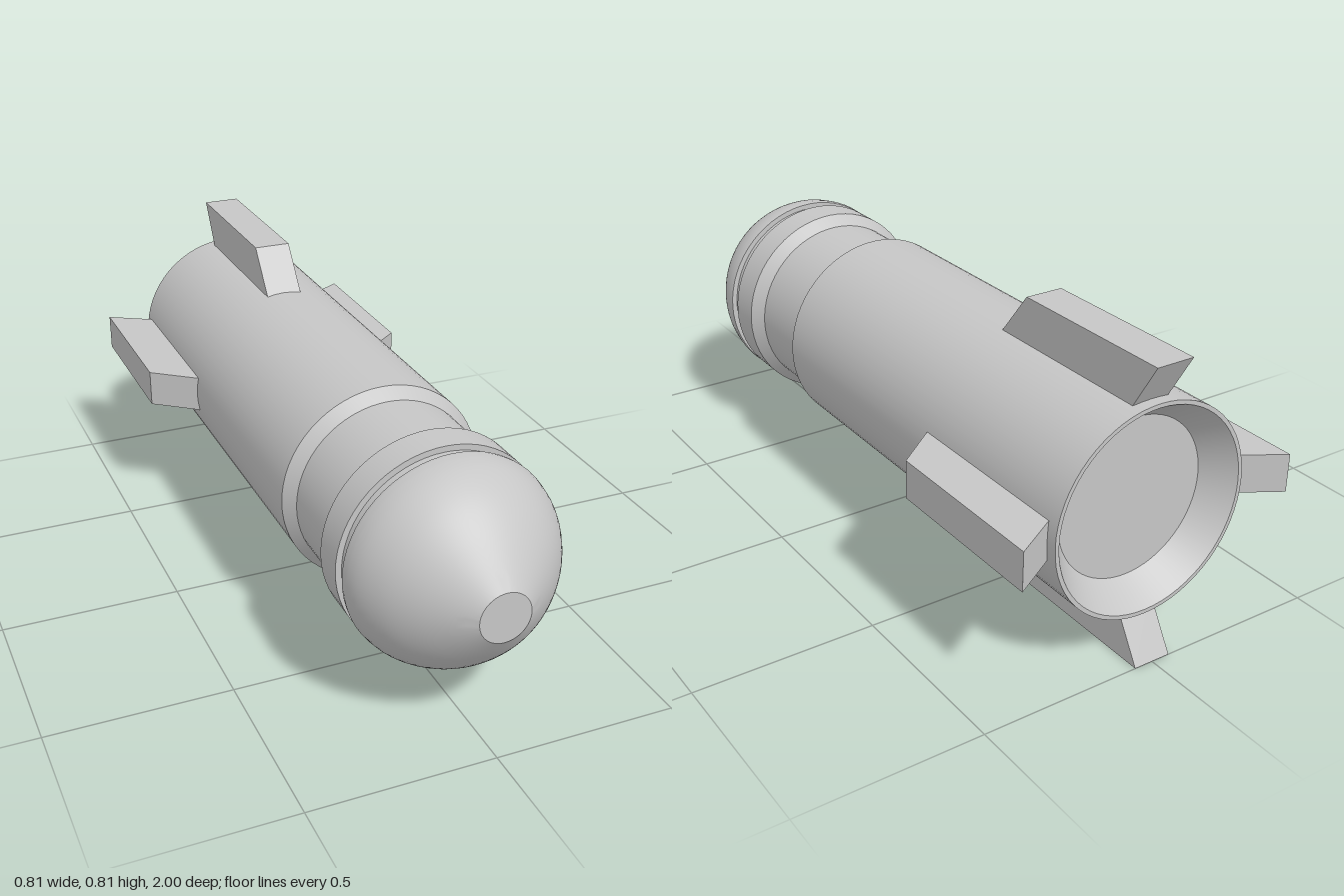
import * as THREE from 'three';
import { toCreasedNormals } from 'three/addons/utils/BufferGeometryUtils.js';

const AXIS_Y = 0.407;

// Revolve [radius, z] pairs, listed from tail to nose, around the z axis
function revolve(profile) {
  const points = profile.map(([r, z]) => new THREE.Vector2(r, z));
  const geometry = new THREE.LatheGeometry(points, 64).rotateX(Math.PI / 2);
  return toCreasedNormals(geometry, 0.5);
}

export function createModel() {
  const model = new THREE.Group();
  const grey = new THREE.MeshStandardMaterial({ color: 0xc6c6c6 });
  grey.name = 'light grey metal';

  const rocket = new THREE.Group();
  rocket.name = 'rocket';
  rocket.position.y = AXIS_Y;
  model.add(rocket);

  const add = (name, geometry) => {
    const mesh = new THREE.Mesh(geometry, grey);
    mesh.name = name;
    rocket.add(mesh);
    return mesh;
  };

  // Casing: recessed tail, long tube, narrow waist, front band and groove
  add('casing', revolve([
    [0, -0.88], [0.217, -0.88], [0.275, -0.96], [0.286, -0.96],
    [0.286, 0.305], [0.258, 0.34], [0.258, 0.54], [0.286, 0.575],
    [0.286, 0.67], [0.27, 0.67], [0.27, 0.72],
  ]));

  // Nose: rounded dome with a flat tip
  const curve = new THREE.SplineCurve([
    [0.287, 0.722], [0.279, 0.765], [0.26, 0.81], [0.23, 0.857],
    [0.186, 0.905], [0.13, 0.953], [0.068, 1],
  ].map(([r, z]) => new THREE.Vector2(r, z)));
  const dome = curve.getPoints(24).map((p) => [p.x, p.y]);
  add('nose', revolve([[0.26, 0.708], [0.285, 0.708], ...dome, [0, 1]]));

  // Four swept tail fins, drawn as (z, radius) and extruded sideways
  const width = 0.106;
  const outline = new THREE.Shape([
    [-0.405, 0.265], [-0.515, 0.405], [-1, 0.405], [-0.917, 0.265],
  ].map(([z, r]) => new THREE.Vector2(z, r)));
  const finGeometry = new THREE.ExtrudeGeometry(outline, { depth: width, bevelEnabled: false })
    .translate(0, 0, -width / 2)
    .rotateY(-Math.PI / 2);
  ['topFin', 'leftFin', 'bottomFin', 'rightFin'].forEach((name, i) => {
    add(name, finGeometry).rotation.z = -i * Math.PI / 2;
  });

  return model;
}
